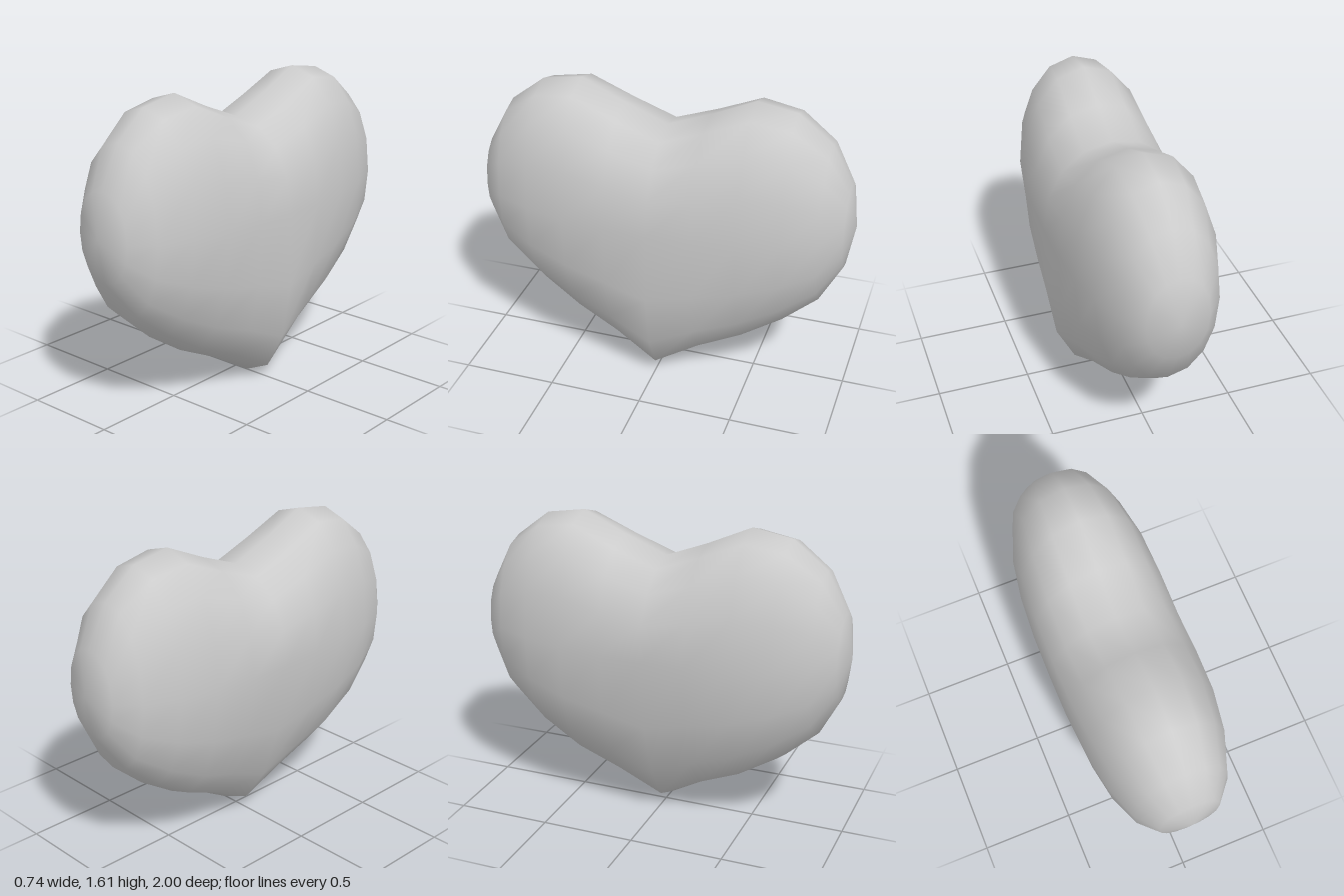
import * as THREE from 'three';

const SIDES = 16;

// Half outline of the heart: [z, bottom y, top y] from the notch out to the side
const OUTLINE = [
  [0, 0, 1.41], [0.23, 0.14, 1.5], [0.46, 0.25, 1.605], [0.67, 0.39, 1.57],
  [0.85, 0.55, 1.43], [0.96, 0.76, 1.22], [1, 0.99, 0.99],
];

// Rounded power curve for slightly full ellipses
const soft = (v, p) => Math.sign(v) * Math.pow(Math.abs(v), 2 / p);

// One closed section across the thickness at a given z
function section(z, bottom, top) {
  const middle = 0.95 + 0.04 * z * z;
  const width = 0.37 * Math.pow(Math.max(0, 1 - Math.pow(Math.abs(z), 2.7)), 1 / 2.7);
  const points = [];
  for (let k = 0; k < SIDES; k++) {
    const t = (k / SIDES) * Math.PI * 2;
    const c = soft(Math.cos(t), 2.15), s = soft(Math.sin(t), 2.15);
    const y = middle + c * (c > 0 ? top - middle : middle - bottom);
    // The lower tip leans slightly to the model's left
    const lean = 0.078 * Math.max(0, 1 - y / 0.9) * Math.max(0, 1 - Math.abs(z) / 0.6);
    points.push(width * s + lean, y, z);
  }
  return points;
}

function heartGeometry() {
  const half = OUTLINE.slice(0, -1);
  const rings = [
    ...half.slice().reverse(),
    ...half.slice(1).map(([z, b, t]) => [-z, b, t]),
  ];
  const positions = rings.flatMap((r) => section(...r));
  const index = [];

  // Skin between neighbouring sections
  for (let i = 0; i < rings.length - 1; i++) {
    for (let k = 0; k < SIDES; k++) {
      const n = (k + 1) % SIDES;
      const a = i * SIDES + k, b = i * SIDES + n;
      index.push(a, b, a + SIDES, b, b + SIDES, a + SIDES);
    }
  }

  // Rounded ends of the two lobes
  const [zEnd, yEnd] = OUTLINE[OUTLINE.length - 1];
  const front = positions.length / 3, back = front + 1;
  positions.push(0, yEnd, zEnd, 0, yEnd, -zEnd);
  const last = (rings.length - 1) * SIDES;
  for (let k = 0; k < SIDES; k++) {
    const n = (k + 1) % SIDES;
    index.push(front, n, k, back, last + k, last + n);
  }

  const geometry = new THREE.BufferGeometry();
  geometry.setAttribute('position', new THREE.Float32BufferAttribute(positions, 3));
  geometry.setIndex(index);
  geometry.computeVertexNormals();
  return geometry;
}

export function createModel() {
  const group = new THREE.Group();
  group.name = 'heart';
  const body = new THREE.Mesh(
    heartGeometry(),
    new THREE.MeshStandardMaterial({ color: 0xcccccc }),
  );
  body.name = 'heartBody';
  group.add(body);
  return group;
}
